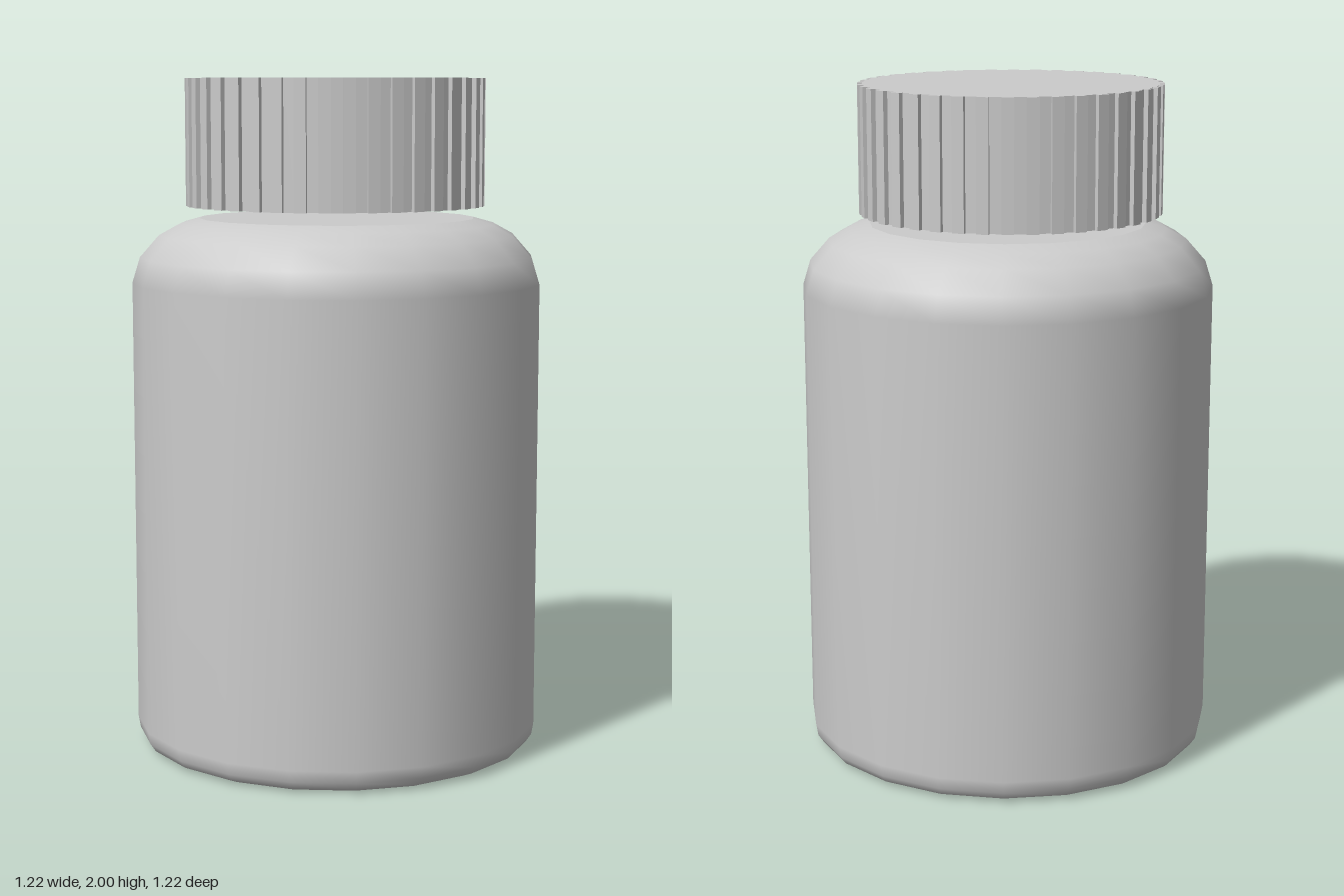
import * as THREE from 'three';

const SIDES = 20;
const RIDGES = 40;

export function createModel() {
  const model = new THREE.Group();
  const material = new THREE.MeshStandardMaterial({ color: 0xcccccc });

  const add = (name, geometry, parent) => {
    const mesh = new THREE.Mesh(geometry, material);
    mesh.name = name;
    parent.add(mesh);
    return mesh;
  };

  // Bottle: smooth turned wall with rounded base edge and shoulder
  const bottle = new THREE.Group();
  bottle.name = 'bottle';
  model.add(bottle);
  const profile = [
    [0.56, 0], [0.588, 0.012], [0.604, 0.035], [0.61, 0.07],
    [0.61, 1.4], [0.587, 1.475], [0.53, 1.54], [0.47, 1.573], [0.41, 1.59],
  ].map(([r, y]) => new THREE.Vector2(r, y));
  add('bottleWall', new THREE.LatheGeometry(profile, SIDES), bottle);

  // Flat discs closing the base and the top
  const base = add('bottleBase', new THREE.CircleGeometry(0.56, SIDES), bottle);
  base.rotation.x = Math.PI / 2;
  const top = add('bottleTop', new THREE.CircleGeometry(0.41, SIDES), bottle);
  top.rotation.x = -Math.PI / 2;
  top.position.y = 1.59;

  // Cap: ribbed outline with square grip ridges, extruded upwards
  const outline = [];
  const step = (Math.PI * 2) / RIDGES;
  for (let i = 0; i < RIDGES; i++) {
    for (const [radius, offset] of [[0.432, -0.25], [0.446, -0.25], [0.446, 0.25], [0.432, 0.25]]) {
      const angle = (i + offset) * step;
      outline.push(new THREE.Vector2(Math.cos(angle) * radius, Math.sin(angle) * radius));
    }
  }
  const capGeometry = new THREE.ExtrudeGeometry(new THREE.Shape(outline), {
    depth: 0.375, bevelEnabled: false,
  });
  capGeometry.rotateX(-Math.PI / 2);
  const cap = add('cap', capGeometry, model);
  cap.position.set(-0.01, 1.625, -0.023);

  return model;
}
